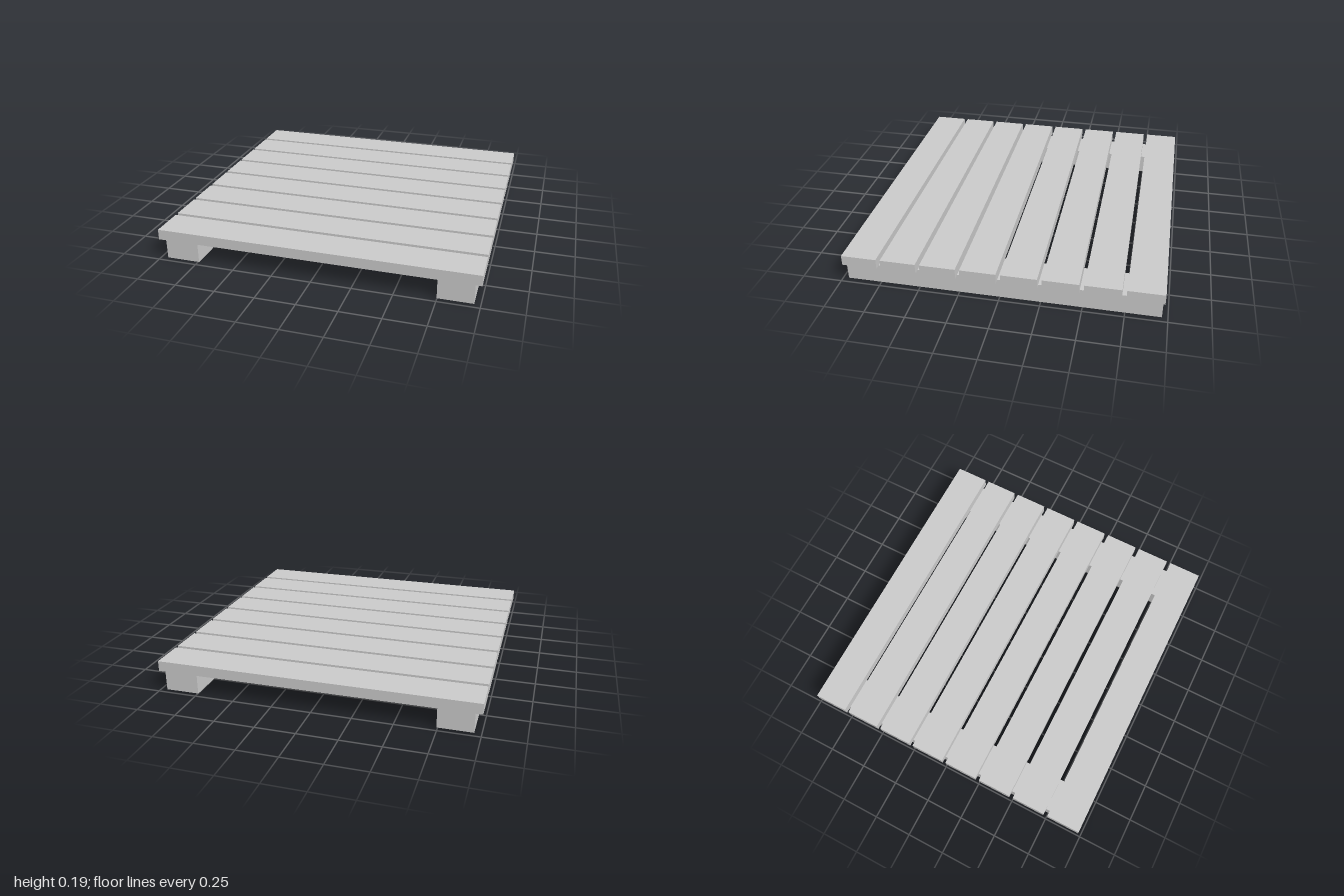
import * as THREE from 'three';

export function createModel() {
  const group = new THREE.Group();
  const material = new THREE.MeshStandardMaterial({ color: 0xcccccc, flatShading: true });

  function addBox(name, size, position) {
    const mesh = new THREE.Mesh(new THREE.BoxGeometry(...size), material);
    mesh.name = name;
    mesh.position.set(...position);
    group.add(mesh);
  }

  const beamHeight = 0.127, topHeight = 0.193;
  const slatThickness = topHeight - beamHeight;

  // Two bearers running front to back
  addBox('leftBearer', [0.214, beamHeight, 1.93], [0.855, beamHeight / 2, 0]);
  addBox('rightBearer', [0.214, beamHeight, 1.93], [-0.85, beamHeight / 2, 0]);

  // Eight evenly spaced deck slats lying across the bearers
  const count = 8, slatWidth = 0.22, pitch = 0.247;
  for (let i = 0; i < count; i++) {
    const z = (i - (count - 1) / 2) * pitch;
    addBox(`deckSlat${i + 1}`, [2, slatThickness, slatWidth], [0, beamHeight + slatThickness / 2, z]);
  }

  return group;
}
